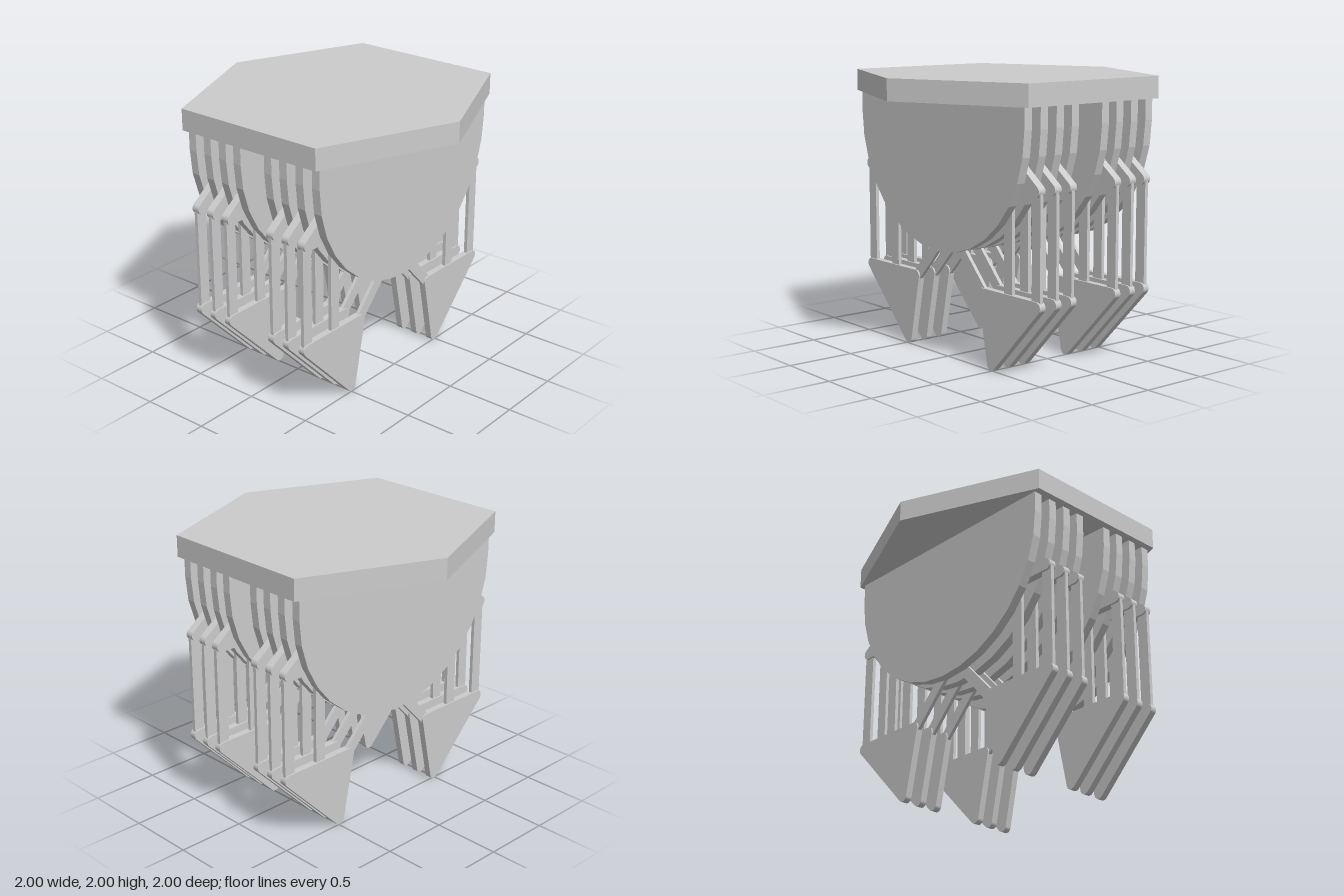
import * as THREE from 'three';

const material = new THREE.MeshStandardMaterial({ color: 0xcccccc, flatShading: true });

function add(group, name, geometry) {
  const mesh = new THREE.Mesh(geometry, material);
  mesh.name = name;
  group.add(mesh);
  return mesh;
}

// Flat link with rounded corners around counter-clockwise joint centres
function link(joints, radius, thickness, side) {
  const pts = joints.map(([x, y]) => [x * side, y]);
  if (side < 0) pts.reverse();
  const n = pts.length;
  const normal = (a, b) => Math.atan2(b[1] - a[1], b[0] - a[0]) - Math.PI / 2;
  const shape = new THREE.Shape();
  pts.forEach((p, i) => {
    const start = normal(pts[(i + n - 1) % n], p);
    const end = normal(p, pts[(i + 1) % n]);
    shape.absarc(p[0], p[1], radius, start, end, false);
  });
  shape.closePath();
  return new THREE.ExtrudeGeometry(shape, { depth: thickness, bevelEnabled: false, curveSegments: 6 })
    .translate(0, 0, -thickness / 2);
}

// Joint positions of one leg on the +x side
const crank = [0, 0.94];
const kneeInner = [0.39, 0.525], kneeOuter = [0.96, 0.525], toe = [0.49, 0.04];
const rockerOuter = [0.95, 1.295], rockerInner = [0.36, 1.295], rockerTop = [0.34, 1.75];

function createLeg(side) {
  const leg = new THREE.Group();
  leg.name = side > 0 ? 'leftLeg' : 'rightLeg';
  add(leg, 'foot', link([toe, kneeOuter, kneeInner], 0.04, 0.05, side));
  add(leg, 'rocker', link([rockerInner, rockerOuter, rockerTop], 0.04, 0.058, side));
  add(leg, 'outerBar', link([[0.945, 0.525], [0.945, 1.295]], 0.042, 0.026, side));
  add(leg, 'innerBar', link([[0.66, 0.525], [0.66, 1.295]], 0.042, 0.026, side));
  add(leg, 'lowerCrankRod', link([kneeInner, crank], 0.04, 0.026, side));
  add(leg, 'upperCrankRod', link([crank, rockerTop], 0.04, 0.026, side));
  return leg;
}

export function createModel() {
  const model = new THREE.Group();
  model.name = 'walkingTable';

  // Hexagonal top
  const hexagon = new THREE.Shape([[0, 1], [-0.975, 0.587], [-0.975, -0.587], [0, -1], [0.975, -0.587], [0.975, 0.587]]
    .map(([x, y]) => new THREE.Vector2(x, y)));
  add(model, 'tableTop', new THREE.ExtrudeGeometry(hexagon, { depth: 0.155, bevelEnabled: false })
    .rotateX(-Math.PI / 2).translate(0, 1.845, 0));

  // Half-round frame plates
  const outline = new THREE.Shape();
  outline.moveTo(0.925, 1.845);
  outline.lineTo(-0.925, 1.845);
  outline.absarc(0, 1.695, 0.925, Math.PI, Math.PI * 2, false);
  outline.closePath();
  const plate = new THREE.ExtrudeGeometry(outline, { depth: 0.064, bevelEnabled: false, curveSegments: 8 })
    .translate(0, 0, -0.032);
  for (const z of [0.547, 0.408, 0.27, 0.137]) {
    for (const end of [1, -1]) add(model, 'framePlate', plate).position.z = z * end;
  }

  // Legs in the gaps between plates
  for (const side of [1, -1]) {
    const leg = createLeg(side);
    for (const z of [0.48, 0.34, 0.205, -0.2, -0.34, -0.475]) {
      const copy = leg.clone();
      copy.position.z = side > 0 ? z : z - 0.008;
      model.add(copy);
    }
  }
  return model;
}
